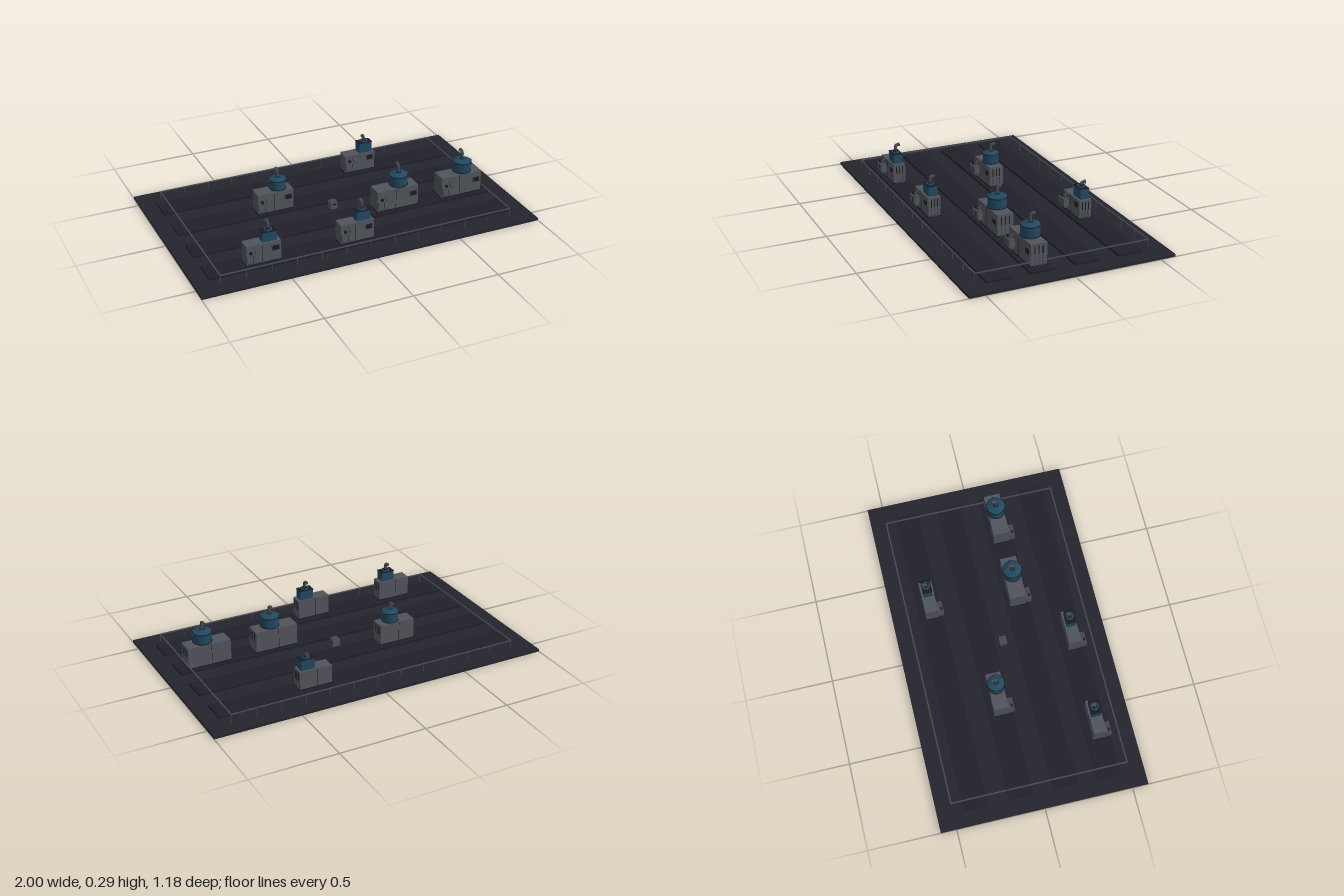
import * as THREE from 'three';

const material = (name, color) => Object.assign(new THREE.MeshStandardMaterial({ color }), { name });
const slabMat = material('dark slab', 0x24242e);
const padMat = material('pad', 0x21202a);
const bodyMat = material('grey casing', 0x50535a);
const blueMat = material('blue steel', 0x20485f);
const darkMat = material('dark trim', 0x1a1b21);
const pipeMat = material('grey pipe', 0x45484e);

function add(parent, name, geometry, mat, x = 0, y = 0, z = 0) {
  const mesh = new THREE.Mesh(geometry, mat);
  mesh.name = name;
  mesh.position.set(x, y, z);
  parent.add(mesh);
  return mesh;
}

// Box given by its limits on each axis
function box(parent, name, mat, x0, x1, y0, y1, z0, z1) {
  return add(parent, name, new THREE.BoxGeometry(x1 - x0, y1 - y0, z1 - z0), mat,
    (x0 + x1) / 2, (y0 + y1) / 2, (z0 + z1) / 2);
}

function drum(parent, name, mat, r, y0, y1, x, z, rTop = r) {
  return add(parent, name, new THREE.CylinderGeometry(rTop, r, y1 - y0, 28), mat, x, (y0 + y1) / 2, z);
}

function tube(parent, name, points, r) {
  const curve = new THREE.CatmullRomCurve3(points.map(p => new THREE.Vector3(...p)), false, 'catmullrom', 0.3);
  return add(parent, name, new THREE.TubeGeometry(curve, 20, r, 10), pipeMat);
}

// One machine: casing, side motor, blue vessel and bent exhaust
function machine({ x0, x1, z, half, top, bx, br, blueTop, pipeTop, round }) {
  const g = new THREE.Group();
  g.name = 'machine';
  const base = 0.027, zf = z + half, zb = z - half, w = x1 - x0;
  box(g, 'casing', bodyMat, x0, x1, base, top, zb, zf);
  box(g, 'casingFoot', darkMat, x0 - 0.002, x1 + 0.002, base, base + 0.006, zb - 0.002, zf + 0.002);

  // Panel seams and the dark control window
  const seam = x0 + w * 0.45;
  for (const s of [zb, zf]) {
    box(g, 'panelSeam', darkMat, seam - 0.001, seam + 0.001, base, top, s - 0.001, s + 0.001);
  }
  box(g, 'controlFrame', pipeMat, x1 - 0.054, x1 - 0.009, 0.09, 0.125, zf, zf + 0.003);
  box(g, 'controlWindow', darkMat, x1 - 0.05, x1 - 0.013, 0.094, 0.121, zf, zf + 0.005);
  for (const k of [-1, 0, 1]) {
    const c = z + k * half * 0.5;
    box(g, 'endSlot', darkMat, x1, x1 + 0.001, top - 0.06, top - 0.012, c - 0.003, c + 0.003);
    box(g, 'endRib', pipeMat, x1, x1 + 0.003, base, top - 0.065, c - 0.003, c + 0.003);
  }

  // Motor boxes and pipework on the front
  const mx = x0 + 0.065;
  box(g, 'motorBox', bodyMat, x0 - 0.006, mx, 0.062, 0.1, zf, zf + 0.03);
  box(g, 'motorLid', pipeMat, x0 - 0.008, mx + 0.002, 0.1, 0.104, zf, zf + 0.032);
  box(g, 'lowerBox', pipeMat, x0 + 0.004, mx - 0.012, 0.046, 0.062, zf, zf + 0.02);
  box(g, 'motorSeam', darkMat, x0 + 0.028, x0 + 0.03, 0.062, 0.1, zf + 0.03, zf + 0.031);
  const gauge = add(g, 'gauge', new THREE.CylinderGeometry(0.009, 0.009, 0.008, 16), darkMat, x0 + 0.018, 0.113, zf + 0.02);
  gauge.rotation.x = Math.PI / 2;
  tube(g, 'feedPipe', [[x0 + 0.045, 0.1, zf + 0.018], [x0 + 0.045, 0.118, zf + 0.017],
    [x0 + 0.045, 0.128, zf + 0.008], [x0 + 0.045, 0.13, zf - 0.004]], 0.005);

  // Blue vessel
  const h = blueTop - top;
  if (round) {
    drum(g, 'vesselNeck', pipeMat, br * 0.85, top, top + 0.006, bx, z);
    drum(g, 'vessel', blueMat, br * 0.93, top + 0.004, blueTop - 0.008, bx, z);
    drum(g, 'vesselLid', blueMat, br * 0.93, blueTop - 0.008, blueTop + 0.003, bx, z, br * 0.5);
    for (const k of [0.12, 0.84]) {
      drum(g, 'vesselBand', darkMat, br, top + h * k - 0.0015, top + h * k + 0.0015, bx, z);
    }
    for (const s of [-1, 1]) {
      box(g, 'vesselLug', blueMat, bx + s * br - 0.005, bx + s * br + 0.005, blueTop - 0.02, blueTop - 0.012, z - 0.006, z + 0.006);
    }
  } else {
    const m = top + h * 0.85;
    box(g, 'vesselBox', blueMat, bx - 0.042, bx + 0.04, top, m, z - 0.026, z + 0.026);
    box(g, 'vesselRim', darkMat, bx - 0.044, bx + 0.042, m, m + 0.003, z - 0.028, z + 0.028);
    drum(g, 'vesselCap', blueMat, 0.023, m + 0.003, blueTop, bx, z);
  }

  // Exhaust turning toward the back
  const r = 0.009, py = pipeTop - r;
  drum(g, 'exhaustFlange', darkMat, r * 1.6, blueTop, blueTop + 0.005, bx, z);
  tube(g, 'exhaust', [[bx, blueTop, z], [bx, py - 0.012, z], [bx, py - 0.003, z - 0.004],
    [bx, py, z - 0.012], [bx, py, z - 0.022]], r);
  const mouth = add(g, 'exhaustMouth', new THREE.CylinderGeometry(r * 1.2, r * 1.2, 0.004, 16), pipeMat, bx, py, z - 0.022);
  mouth.rotation.x = Math.PI / 2;
  return g;
}

export function createModel() {
  const model = new THREE.Group();
  model.name = 'plantFloor';

  // Floor and long pads
  box(model, 'floor', slabMat, -1, 1, 0, 0.014, -0.59, 0.59);
  for (const z of [-0.37, -0.115, 0.14, 0.385]) {
    box(model, 'pad', padMat, -0.91, 0.91, 0.014, 0.027, z - 0.069, z + 0.069);
  }

  // Guard rail with posts
  const fx = 0.865, fz = 0.5;
  for (const s of [-1, 1]) {
    box(model, 'longRail', pipeMat, -fx, fx, 0.058, 0.063, s * fz - 0.004, s * fz + 0.004);
    box(model, 'sideRail', pipeMat, s * fx - 0.004, s * fx + 0.004, 0.058, 0.063, -fz, fz);
    for (let i = 0; i <= 12; i++) {
      const x = -fx + (i * fx) / 6;
      add(model, 'railPost', new THREE.CylinderGeometry(0.0025, 0.0025, 0.046, 8), pipeMat, x, 0.037, s * fz);
    }
  }

  // Small cabinet in the middle
  box(model, 'cabinet', bodyMat, -0.023, 0.02, 0.014, 0.055, -0.02, 0.02);
  box(model, 'cabinetLid', pipeMat, -0.02, 0.017, 0.055, 0.06, -0.016, 0.016);
  box(model, 'cabinetWindow', darkMat, -0.013, 0.01, 0.038, 0.048, 0.02, 0.022);
  box(model, 'cabinetVent', darkMat, 0.02, 0.021, 0.03, 0.036, -0.01, 0.01);

  const small = { z: 0.388, half: 0.036, top: 0.145, blueTop: 0.21, pipeTop: 0.257 };
  const large = { z: 0.138, half: 0.047, top: 0.154, br: 0.056, blueTop: 0.231, pipeTop: 0.288, round: true };
  const machines = [
    { ...small, x0: -0.69, x1: -0.493, bx: -0.552 },
    { ...small, x0: -0.145, x1: 0.052, bx: -0.005 },
    { ...large, x0: 0.193, x1: 0.447, bx: 0.342 },
    { ...large, x0: 0.602, x1: 0.856, bx: 0.752 },
    { x0: -0.43, x1: -0.215, z: -0.11, half: 0.042, top: 0.149, bx: -0.295, br: 0.05, blueTop: 0.221, pipeTop: 0.272, round: true },
    { x0: 0.228, x1: 0.418, z: -0.362, half: 0.037, top: 0.138, bx: 0.365, blueTop: 0.208, pipeTop: 0.234 },
  ];
  for (const m of machines) model.add(machine(m));
  return model;
}
